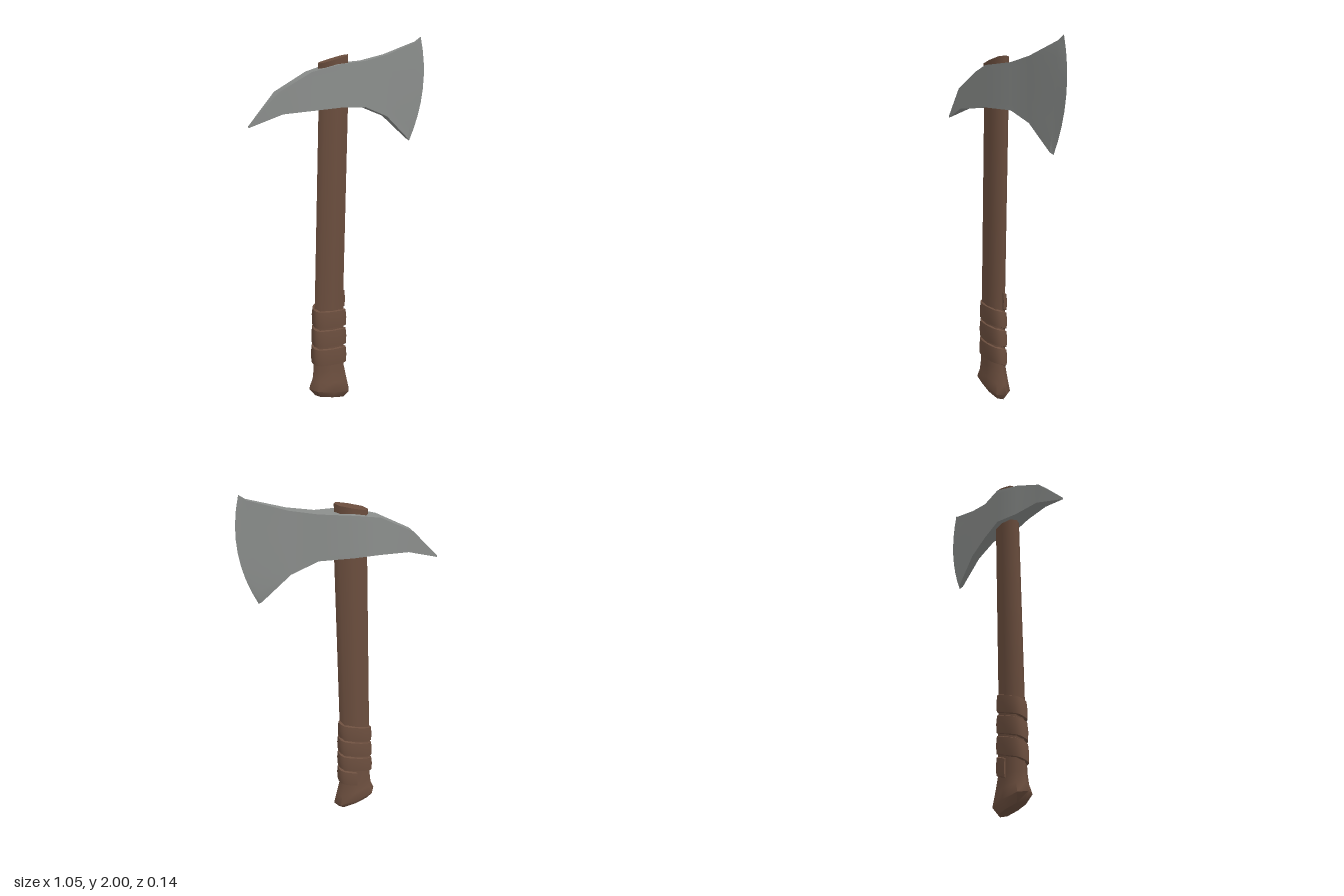
import * as THREE from 'three';
import { toCreasedNormals } from 'three/addons/utils/BufferGeometryUtils.js';

// Skin a list of equal-length point rings and close both ends
function loft(rings, crease) {
  const n = rings[0].length, pos = rings.flat(2), idx = [];
  for (let i = 0; i < rings.length - 1; i++) {
    for (let j = 0; j < n; j++) {
      const k = (j + 1) % n;
      const a = i * n + j, b = i * n + k, c = b + n, d = a + n;
      idx.push(a, b, c, a, c, d);
    }
  }
  const last = (rings.length - 1) * n;
  for (let j = 1; j < n - 1; j++) {
    idx.push(0, j + 1, j, last, last + j, last + j + 1);
  }
  const g = new THREE.BufferGeometry();
  g.setAttribute('position', new THREE.Float32BufferAttribute(pos, 3));
  g.setIndex(idx);
  return toCreasedNormals(g, crease);
}

// Oval with fuller shoulders, used by the handle and its wrap
const shoulder = a => 1 + 0.05 * (1 - Math.cos(4 * a));

// Handle sections: y, centre x, half width, half depth, tilt
const HANDLE = [
  [0.022, -0.075, 0.095, 0.036, -0.23],
  [0.0625, -0.078, 0.127, 0.06, -0.215],
  [0.118, -0.075, 0.11, 0.05, -0.19],
  [0.19, -0.082, 0.097, 0.042, 0],
  [0.62, -0.076, 0.089, 0.04, 0],
  [1.64, -0.047, 0.0875, 0.04, 0],
  [1.888, -0.047, 0.0875, 0.043, 0.26],
];

function handleGeometry() {
  const rings = HANDLE.map(([y, cx, hx, hz, tilt]) => {
    const ring = [];
    for (let j = 0; j < 8; j++) {
      const a = (j / 8) * Math.PI * 2, s = shoulder(a);
      const dx = Math.sin(a) * hx * s;
      ring.push([cx + dx, y + dx * tilt, Math.cos(a) * hz * s]);
    }
    return ring;
  });
  return loft(rings, 0.95);
}

// Strap wound down the grip: profile of [y, outward] swept on a helix
function wrapGeometry() {
  const profile = [[0.051, -0.006], [0.046, 0.007], [0, 0.011], [-0.046, 0.008], [-0.051, -0.006]];
  const start = -1.5 * Math.PI, turns = 3.25, steps = 78, pitch = 0.11;
  const [lo, hi] = [HANDLE[3], HANDLE[4]];
  const rings = [];
  for (let i = 0; i <= steps; i++) {
    const t = i / steps, a = start + t * turns * Math.PI * 2;
    const yc = 0.575 - pitch * turns * t + 0.012 * Math.sin(a);
    rings.push(profile.map(([dy, out]) => {
      const y = yc + dy, f = (y - lo[0]) / (hi[0] - lo[0]);
      const [cx, hx, hz] = [1, 2, 3].map(k => THREE.MathUtils.lerp(lo[k], hi[k], f));
      const s = shoulder(a);
      return [cx + Math.sin(a) * (hx * s + out), y, Math.cos(a) * (hz * s + out)];
    }));
  }
  return loft(rings, 0.7);
}

// Head sections: bottom x, y, half depth; top x, y, half depth; forward bulge
const HEAD = [
  [-0.525, 1.56, 0.001, -0.525, 1.57, 0.001, 0],
  [-0.35, 1.622, 0.032, -0.37, 1.73, 0.03, 0],
  [-0.185, 1.633, 0.044, -0.19, 1.825, 0.037, 0],
  [-0.045, 1.645, 0.07, -0.045, 1.862, 0.07, 0],
  [0.13, 1.638, 0.034, 0.13, 1.877, 0.034, 0],
  [0.27, 1.583, 0.025, 0.27, 1.908, 0.025, 0],
  [0.42, 1.452, 0.012, 0.465, 1.975, 0.011, 0.008],
  [0.435, 1.44, 0.001, 0.497, 2.0, 0.001, 0.054],
];

function headGeometry() {
  const levels = 8;
  const rings = HEAD.map(([xb, yb, zb, xt, yt, zt, bulge]) => {
    const front = [], back = [];
    for (let k = 0; k <= levels; k++) {
      const t = k / levels;
      const x = xb + (xt - xb) * t + bulge * 4 * t * (1 - t);
      const y = yb + (yt - yb) * t, z = zb + (zt - zb) * t;
      front.unshift([x, y, z]);
      back.push([x, y, -z]);
    }
    return [...front, ...back];
  });
  return loft(rings, 0.5);
}

export function createModel() {
  const wood = new THREE.MeshStandardMaterial({ color: 0x6b4e3e });
  wood.name = 'brown wood';
  const steel = new THREE.MeshStandardMaterial({ color: 0x8b8e8c });
  steel.name = 'grey steel';

  const model = new THREE.Group();
  model.name = 'axe';
  const add = (name, geometry, material) => {
    const mesh = new THREE.Mesh(geometry, material);
    mesh.name = name;
    model.add(mesh);
  };
  add('handle', handleGeometry(), wood);
  add('gripWrap', wrapGeometry(), wood);
  add('axeHead', headGeometry(), steel);
  return model;
}
